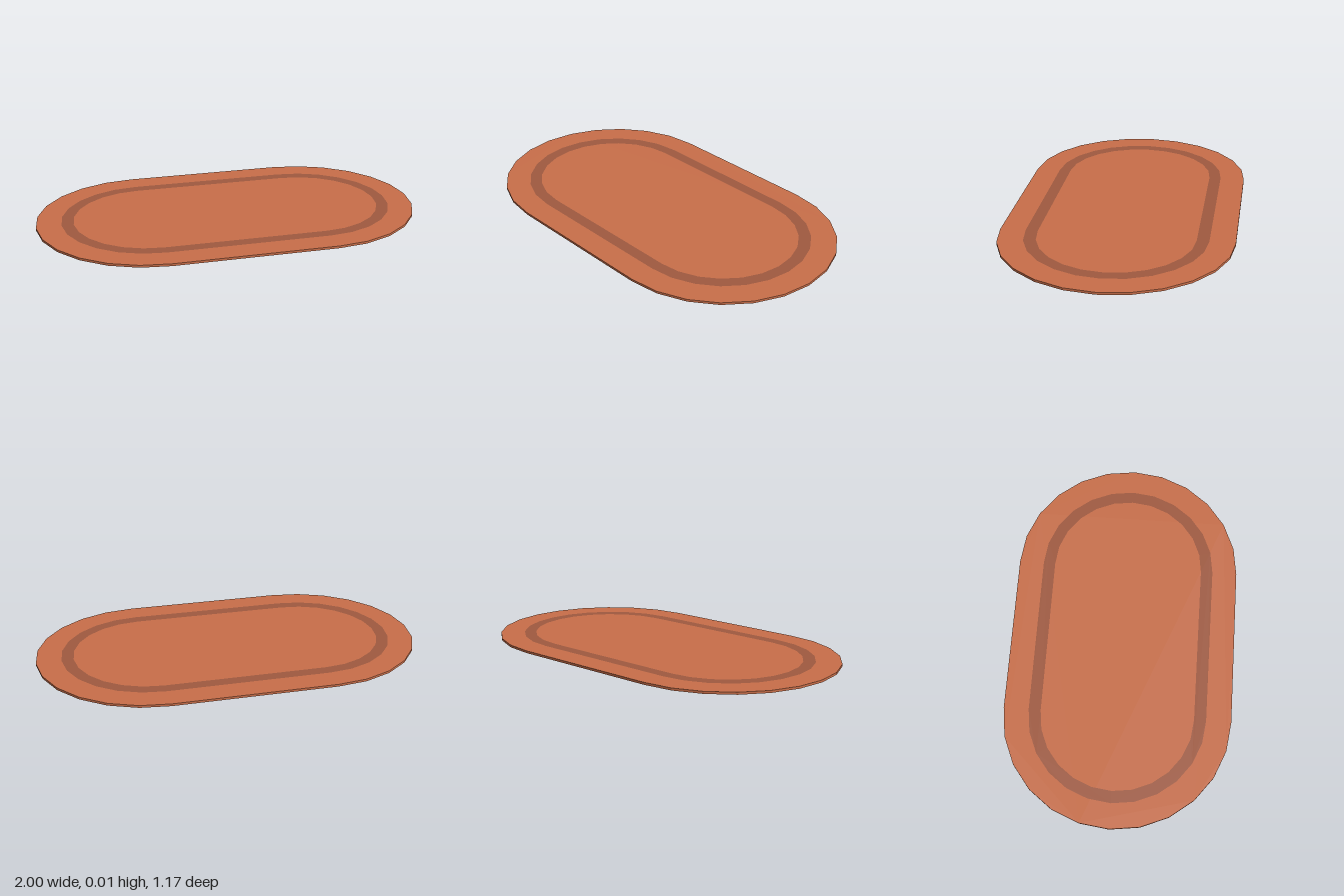
import * as THREE from 'three';

const HALF_STRAIGHT = 0.414; // centre of each rounded end
const END_SEGMENTS = 12;
const THICKNESS = 0.012;

// Stadium outline: two faceted half circles joined by straight sides
function stadiumPoints(radius) {
  const points = [];
  for (const side of [1, -1]) {
    for (let i = 0; i <= END_SEGMENTS; i++) {
      const a = -Math.PI / 2 + (i / END_SEGMENTS) * Math.PI;
      points.push(new THREE.Vector2(
        side * (HALF_STRAIGHT + radius * Math.cos(a)),
        side * radius * Math.sin(a)
      ));
    }
  }
  return points;
}

function part(name, geometry, color) {
  geometry.rotateX(-Math.PI / 2); // lay flat, top facing +y
  const mesh = new THREE.Mesh(geometry, new THREE.MeshStandardMaterial({ color, flatShading: true }));
  mesh.name = name;
  return mesh;
}

export function createModel() {
  const group = new THREE.Group();
  group.name = 'ovalMat';

  // Thin mat slab
  const matShape = new THREE.Shape(stadiumPoints(0.586));
  group.add(part('mat',
    new THREE.ExtrudeGeometry(matShape, { depth: THICKNESS, bevelEnabled: false }), 0xc96f4a));

  // Darker stripe lying just above the top surface
  const stripeShape = new THREE.Shape(stadiumPoints(0.457));
  stripeShape.holes.push(new THREE.Path(stadiumPoints(0.395)));
  const stripe = part('borderStripe', new THREE.ShapeGeometry(stripeShape), 0xa05a40);
  stripe.position.y = THICKNESS + 0.001;
  group.add(stripe);

  return group;
}
